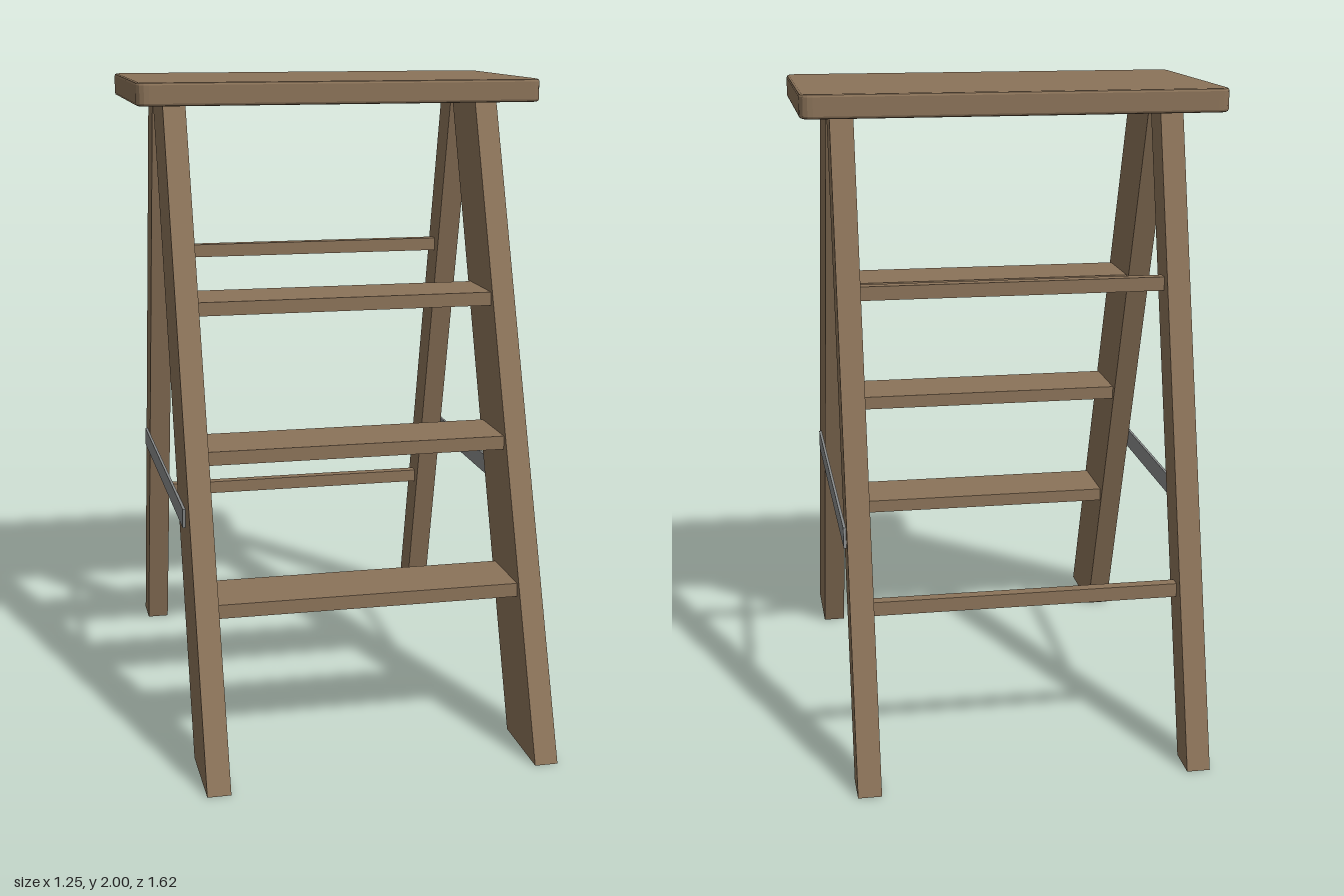
import * as THREE from 'three';

const wood = new THREE.MeshStandardMaterial({ color: 0x8b7359 });
wood.name = 'wood';
const metal = new THREE.MeshStandardMaterial({ color: 0x888a8a });
metal.name = 'metal';

export function createModel() {
  const group = new THREE.Group();
  group.name = 'stepladder';

  const add = (name, geometry, material, x = 0, y = 0, z = 0) => {
    const mesh = new THREE.Mesh(geometry, material);
    mesh.name = name;
    mesh.position.set(x, y, z);
    group.add(mesh);
  };

  // Side outline given as [z, y] points, extruded across x and centred on it
  const sidePanel = (points, thickness) => {
    const shape = new THREE.Shape(points.map(([z, y]) => new THREE.Vector2(z, y)));
    return new THREE.ExtrudeGeometry(shape, { depth: thickness, bevelEnabled: false })
      .translate(0, 0, -thickness / 2)
      .rotateY(-Math.PI / 2);
  };

  // Top board with rounded corners and softened edges
  const bevel = 0.008, w = 0.625 - bevel, d = 0.3625 - bevel, r = 0.03;
  const board = new THREE.Shape();
  board.moveTo(-w + r, -d);
  board.lineTo(w - r, -d);
  board.quadraticCurveTo(w, -d, w, -d + r);
  board.lineTo(w, d - r);
  board.quadraticCurveTo(w, d, w - r, d);
  board.lineTo(-w + r, d);
  board.quadraticCurveTo(-w, d, -w, d - r);
  board.lineTo(-w, -d + r);
  board.quadraticCurveTo(-w, -d, -w + r, -d);
  const top = new THREE.ExtrudeGeometry(board, {
    depth: 0.07 - 2 * bevel, bevelThickness: bevel, bevelSize: bevel, bevelSegments: 2, curveSegments: 4,
  }).rotateX(-Math.PI / 2);
  add('topBoard', top, wood, 0, 1.93 + bevel, -0.1275);

  // Slanted rails, rear legs and metal spreader bars on both sides
  const rail = sidePanel([[0.54, 0], [0.81, 0], [0.07, 1.935], [-0.185, 1.935]], 0.07);
  const leg = sidePanel([[-0.81, 0], [-0.7, 0], [-0.195, 1.935], [-0.31, 1.935]], 0.07);
  const bar = sidePanel([[-0.59, 0.693], [0.427, 0.693], [0.437, 0.753], [-0.581, 0.753]], 0.008);
  for (const [side, s] of [['left', 1], ['right', -1]]) {
    add(side + 'FrontRail', rail, wood, s * 0.495);
    add(side + 'RearLeg', leg, wood, s * 0.495);
    add(side + 'SpreaderBar', bar, metal, s * 0.534);
  }

  // Three treads between the front rails
  const tread = new THREE.BoxGeometry(0.93, 0.042, 0.22);
  for (let i = 0; i < 3; i++) {
    add('tread' + (i + 1), tread, wood, 0, 0.482 + i * 0.423, 0.49 - i * 0.16);
  }

  // Two rungs between the rear legs
  const rung = new THREE.BoxGeometry(0.93, 0.042, 0.035);
  add('lowerRung', rung, wood, 0, 0.514, -0.617);
  add('upperRung', rung, wood, 0, 1.412, -0.388);

  return group;
}
